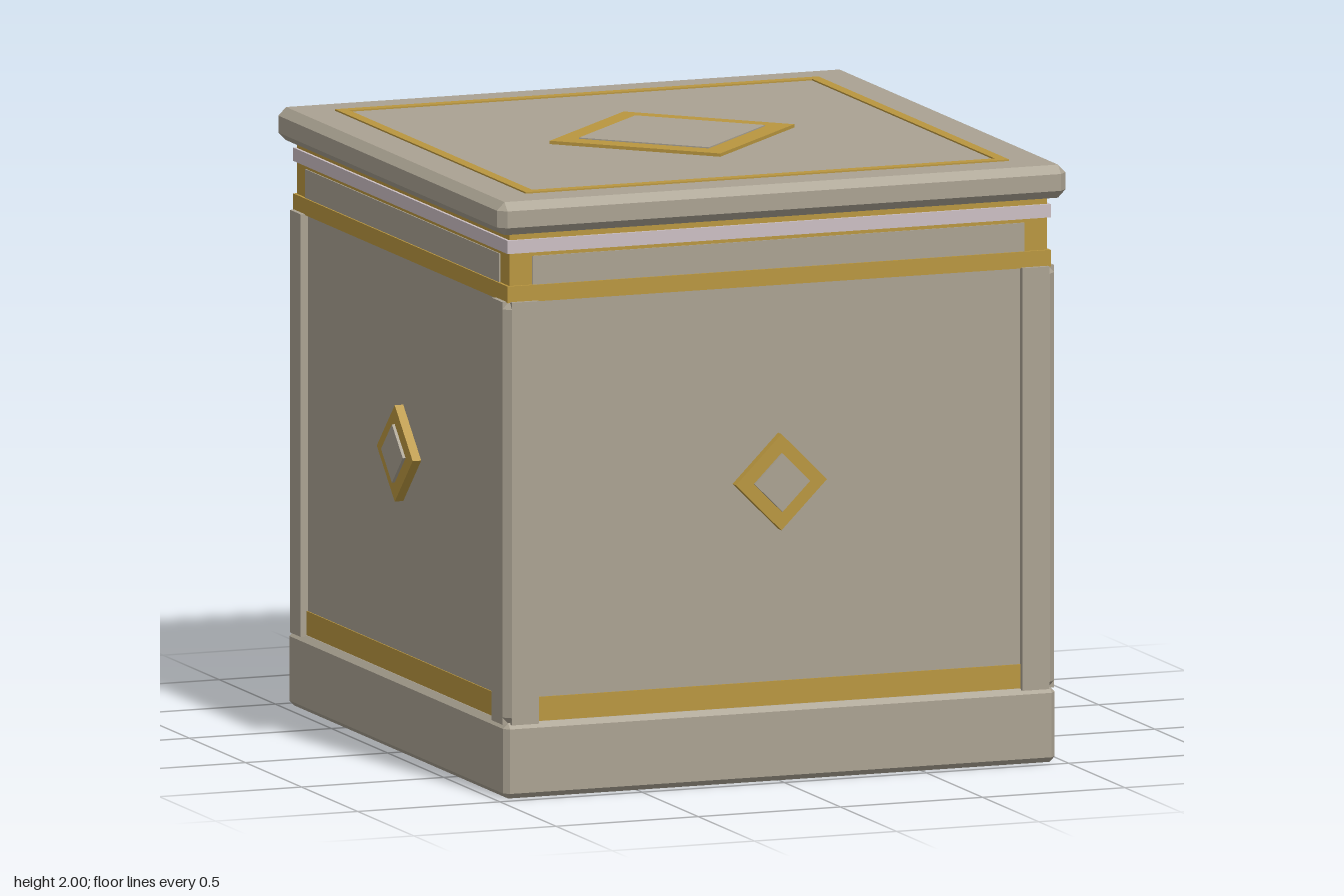
import * as THREE from 'three';
import { ConvexGeometry } from 'three/addons/geometries/ConvexGeometry.js';

const material = (name, color) => {
  const m = new THREE.MeshStandardMaterial({ color });
  m.name = name;
  return m;
};

// Box with every edge chamfered by c, spanning y0..y1
function chamferBox(w, d, y0, y1, c) {
  const pts = [], h = (y1 - y0) / 2;
  for (const x of [-1, 1]) for (const y of [-1, 1]) for (const z of [-1, 1]) {
    pts.push(
      new THREE.Vector3(x * w / 2, y * (h - c), z * (d / 2 - c)),
      new THREE.Vector3(x * (w / 2 - c), y * h, z * (d / 2 - c)),
      new THREE.Vector3(x * (w / 2 - c), y * (h - c), z * d / 2));
  }
  return new ConvexGeometry(pts).translate(0, (y0 + y1) / 2, 0);
}

// Plain box spanning y0..y1
const box = (w, d, y0, y1) =>
  new THREE.BoxGeometry(w, y1 - y0, d).translate(0, (y0 + y1) / 2, 0);

// Four-cornered outline at the given radius; start angle 0 gives a diamond
function ring(outer, inner, depth, start = 0) {
  const corners = (r) => [0, 1, 2, 3].map((i) => {
    const a = start + i * Math.PI / 2;
    return new THREE.Vector2(Math.cos(a) * r, Math.sin(a) * r);
  });
  const shape = new THREE.Shape(corners(outer));
  if (inner) shape.holes.push(new THREE.Path(corners(inner)));
  return new THREE.ExtrudeGeometry(shape, { depth, bevelEnabled: false });
}

export function createModel() {
  const stone = material('stone', 0xaaa292);
  const gold = material('gold', 0xb9963f);
  const paleStone = material('pale pink stone', 0xcbbfc3);

  const model = new THREE.Group();
  model.name = 'pedestal';
  const add = (name, geometry, mat, parent = model) => {
    const mesh = new THREE.Mesh(geometry, mat);
    mesh.name = name;
    parent.add(mesh);
    return mesh;
  };

  // Stacked square courses
  add('base', chamferBox(1.94, 1.94, 0, 0.25, 0.018), stone);
  add('body', box(1.89, 1.89, 0.24, 1.65), stone);
  add('lowerGoldBand', box(1.91, 1.91, 1.645, 1.7), gold);
  add('goldNeck', box(1.89, 1.89, 1.7, 1.88), gold);
  add('paleMoulding', box(1.91, 1.91, 1.808, 1.852), paleStone);
  add('capSlab', chamferBox(2, 2, 1.875, 1.985, 0.027), stone);

  // Corner posts
  for (const x of [-1, 1]) for (const z of [-1, 1]) {
    const post = add('cornerPost', chamferBox(0.12, 0.12, 0.245, 1.648, 0.024), stone);
    // square off the inner edges by filling up to the chamfer line
    post.position.set(x * 0.91, 0, z * 0.91);
    for (const swap of [false, true]) {
      const face = add('postFace', swap ? box(0.12, 0.095, 0.245, 1.648)
        : box(0.095, 0.12, 0.245, 1.648), stone);
      face.position.set(x * (swap ? 0.91 : 0.8975), 0, z * (swap ? 0.8975 : 0.91));
    }
  }

  // Decoration repeated on all four sides
  for (let i = 0; i < 4; i++) {
    const side = new THREE.Group();
    side.name = 'sideDecoration';
    side.rotation.y = i * Math.PI / 2;
    model.add(side);
    add('footStripe', box(1.7, 0.006, 0.25, 0.33), gold, side).position.z = 0.946;
    add('friezePanel', box(1.73, 0.009, 1.7, 1.795), stone, side).position.z = 0.945;
    add('goldDiamond', ring(0.16, 0.095, 0.035), gold, side).position.set(0, 0.993, 0.94);
    add('diamondCentre', ring(0.097, 0, 0.045), stone, side).position.set(0, 0.993, 0.94);
  }

  // Inlays on the cap
  const top = new THREE.Group();
  top.name = 'topInlay';
  top.rotation.x = -Math.PI / 2;
  top.position.y = 1.983;
  model.add(top);
  add('goldBorder', ring(0.85 * Math.SQRT2, 0.813 * Math.SQRT2, 0.007, Math.PI / 4), gold, top);
  add('goldDiamond', ring(0.43, 0.325, 0.013), gold, top);
  add('diamondCentre', ring(0.327, 0, 0.017), stone, top);

  return model;
}
